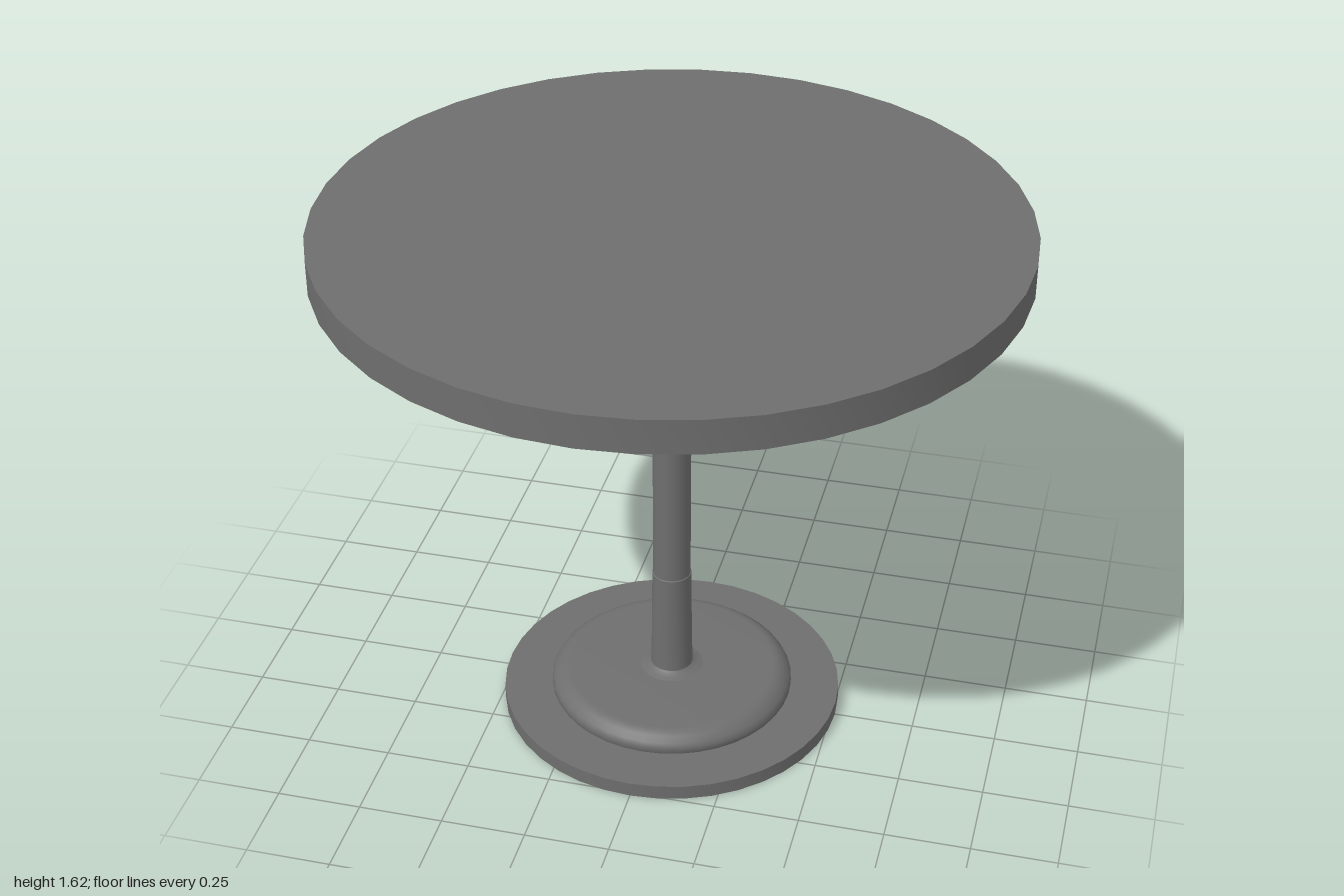
import * as THREE from 'three';
import { toCreasedNormals } from 'three/addons/utils/BufferGeometryUtils.js';

const material = new THREE.MeshStandardMaterial({ color: 0x6e6e6e });

// Revolves a profile of [radius, height] points, listed from bottom to top.
function turned(name, profile, segments = 40) {
  const points = profile.map(([r, y]) => new THREE.Vector2(r, y));
  const geometry = toCreasedNormals(new THREE.LatheGeometry(points, segments), 0.6);
  const mesh = new THREE.Mesh(geometry, material);
  mesh.name = name;
  return mesh;
}

export function createModel() {
  const table = new THREE.Group();
  table.name = 'pedestalTable';

  table.add(
    // Flat floor disc
    turned('basePlate', [[0, 0], [0.512, 0], [0.512, 0.045], [0, 0.045]]),

    // Raised disc with a rounded rim
    turned('baseDome', [
      [0.36, 0.04], [0.366, 0.05], [0.366, 0.067], [0.359, 0.08],
      [0.343, 0.094], [0.325, 0.104], [0.31, 0.105], [0, 0.106],
    ]),

    // Small flare where the column meets the base
    turned('columnFoot', [[0.1, 0.104], [0.085, 0.109], [0.072, 0.113], [0.063, 0.12]], 32),

    // Slightly wider lower sleeve
    turned('columnSleeve', [[0.064, 0.1], [0.061, 0.22], [0.0585, 0.45], [0.055, 0.452]], 32),

    // Main column
    turned('column', [[0.056, 0.1], [0.056, 1.52]], 32),

    // Conical support under the top
    turned('topFlange', [[0.055, 1.458], [0.063, 1.467], [0.105, 1.502], [0.116, 1.511], [0.116, 1.53]], 32),

    // Round table top with a fine lower bevel
    turned('tableTop', [[0, 1.515], [0.9, 1.515], [0.99, 1.517], [1, 1.523], [1, 1.622], [0, 1.622]]),
  );

  return table;
}
